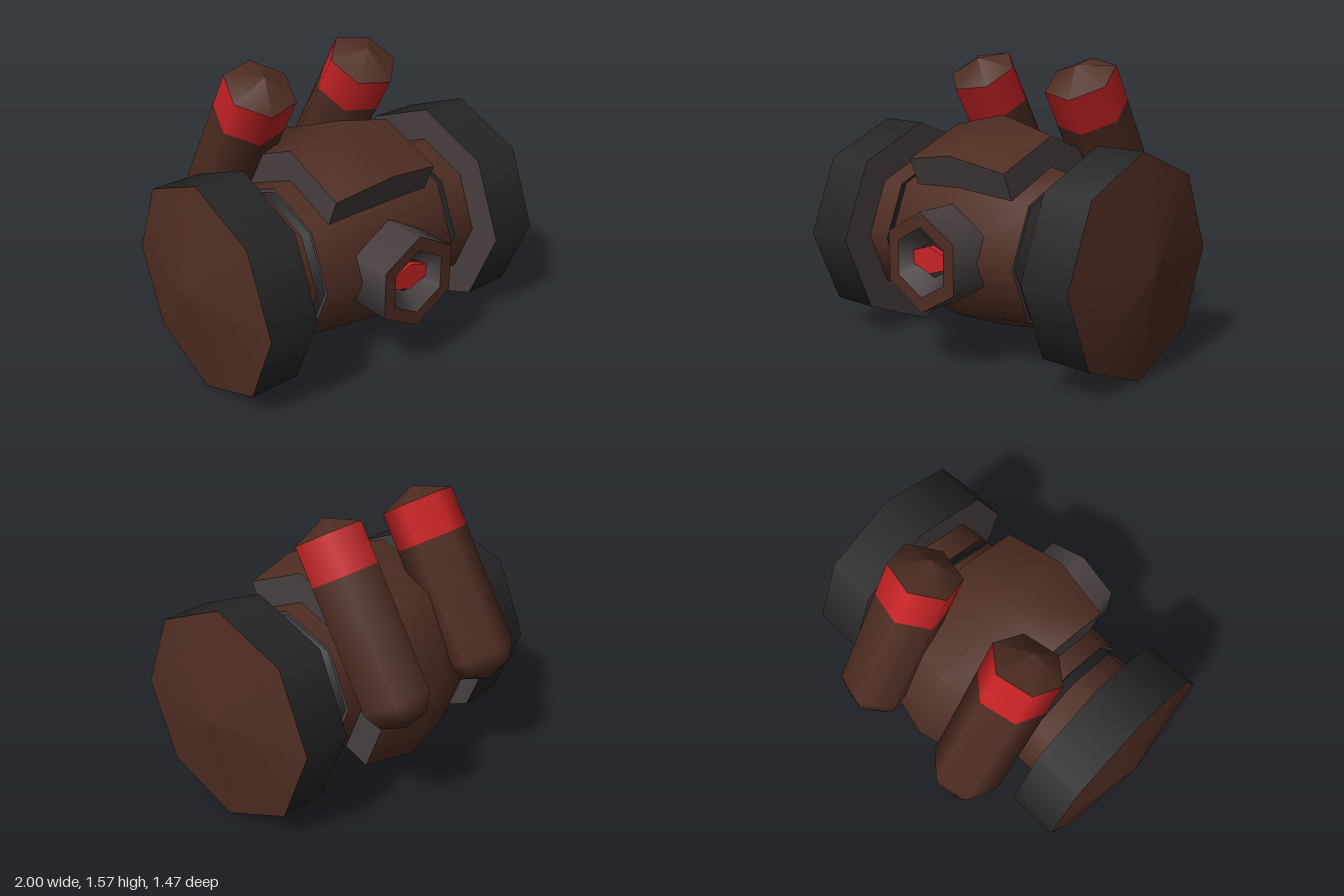
import * as THREE from 'three';
import { mergeVertices } from 'three/addons/utils/BufferGeometryUtils.js';

const mat = (name, color) => {
  const m = new THREE.MeshStandardMaterial({ color });
  m.name = name;
  return m;
};

export function createModel() {
  const brown = mat('brown', 0x4f2d22);
  const black = mat('black', 0x252525);
  const grey = mat('warmGrey', 0x483f3f);
  const red = mat('red', 0xc82325);
  const CY = 0.595, CZ = 0.105; // main axle height and depth

  const model = new THREE.Group();
  model.name = 'model';
  const add = (parent, name, geometry, material) => {
    const mesh = new THREE.Mesh(geometry, material);
    mesh.name = name;
    parent.add(mesh);
    return mesh;
  };
  // Surface of revolution; profile entries are [radius, height]
  const turned = (profile, sides, start = 0) =>
    new THREE.LatheGeometry(profile.map(([r, h]) => new THREE.Vector2(r, h)), sides, start);

  // Everything arranged around the sideways axle
  const axle = new THREE.Group();
  axle.name = 'axle';
  axle.position.set(0, CY, CZ);
  model.add(axle);

  const alongX = (g) => g.rotateZ(-Math.PI / 2);
  add(axle, 'body', alongX(turned([[0.43, -0.44], [0.49, 0], [0.43, 0.44]], 8)), brown);

  // End drums, one for each side
  for (const [name, angle] of [['leftEnd', 0], ['rightEnd', Math.PI]]) {
    const end = new THREE.Group();
    end.name = name;
    end.rotation.y = angle;
    axle.add(end);
    const ring = (part, profile, material) => add(end, part, alongX(turned(profile, 8)), material);
    ring('bodyEdge', [[0.43, 0.44], [0.41, 0.44]], grey);
    ring('groove', [[0.41, 0.44], [0.345, 0.49]], black);
    ring('sleeveEdge', [[0.3, 0.49], [0.41, 0.49]], black);
    ring('sleeve', [[0.41, 0.49], [0.41, 0.63]], brown);
    ring('drumInnerFace', [[0.38, 0.63], [0.59, 0.63]], grey);
    ring('drumRim', [[0.59, 0.63], [0.59, 0.91]], black);
    ring('drumCap', [[0.59, 0.91], [0, 1]], brown);
  }

  // Raised shell wrapped over the top and back; sections are unit [z, y] pairs
  const h = Math.SQRT1_2, k = 0.68;
  const outer = [[0.609, 0.755], [0, 1], [-h, h], [-1, 0], [-0.755, -0.609]];
  const inner = [[0.496, 0.478], [0, k], [-h * k, h * k], [-k, 0], [-0.478, -0.496]];
  const stations = [[-0.335, 0.61], [0, 0.69], [0.335, 0.61]];
  const at = (section, i, s) => {
    const [x, r] = stations[s];
    return [x, section[i][1] * r, section[i][0] * r];
  };
  const fromQuads = (quads) => {
    const g = new THREE.BufferGeometry();
    const pts = quads.flatMap(([a, b, c, d]) => [a, b, c, a, c, d]).flat();
    g.setAttribute('position', new THREE.Float32BufferAttribute(pts, 3));
    return g;
  };
  const plates = [], edges = [];
  for (let i = 0; i < 4; i++) {
    for (let s = 0; s < 2; s++) {
      plates.push([at(outer, i, s), at(outer, i, s + 1), at(outer, i + 1, s + 1), at(outer, i + 1, s)]);
    }
    const side = (s) => [at(outer, i, s), at(inner, i, s), at(inner, i + 1, s), at(outer, i + 1, s)];
    edges.push(side(2), side(0).reverse());
  }
  for (let s = 0; s < 2; s++) {
    const lip = (i) => [at(outer, i, s), at(inner, i, s), at(inner, i, s + 1), at(outer, i, s + 1)];
    edges.push(lip(0), lip(4).reverse());
  }
  const plateGeometry = mergeVertices(fromQuads(plates));
  plateGeometry.computeVertexNormals();
  add(axle, 'shellPlate', plateGeometry, brown);
  const edgeGeometry = fromQuads(edges);
  edgeGeometry.computeVertexNormals();
  add(axle, 'shellEdge', edgeGeometry, grey);

  // Six-sided front nozzle with a glowing core
  const nozzle = new THREE.Group();
  nozzle.name = 'nozzle';
  nozzle.position.y = CY;
  model.add(nozzle);
  const alongZ = (g) => g.rotateX(Math.PI / 2);
  const tube = (part, profile, material) => add(nozzle, part, alongZ(turned(profile, 6)), material);
  tube('nozzleSide', [[0.265, 0.5], [0.265, 0.735]], grey);
  tube('nozzleRim', [[0.265, 0.735], [0.185, 0.735]], brown);
  tube('nozzleFunnel', [[0.185, 0.735], [0.1, 0.64]], grey);
  tube('nozzleFloor', [[0.1, 0.64], [0, 0.64]], black);
  const core = add(nozzle, 'nozzleCore', alongZ(new THREE.CylinderGeometry(0.127, 0.127, 0.05, 6)), red);
  core.scale.y = 0.57;
  core.position.set(0, 0.002, 0.65);

  // Two slanted canisters on the back
  for (const side of [1, -1]) {
    const canister = new THREE.Group();
    canister.name = side > 0 ? 'leftCanister' : 'rightCanister';
    canister.position.set(0.35 * side, 0.7035, -0.568);
    canister.rotation.x = Math.PI / 6;
    model.add(canister);
    const part = (name, profile, material) =>
      add(canister, name, turned(profile, 6, side * Math.PI / 12), material);
    part('canisterBody', [[0, -0.147], [0.143, -0.095], [0.2, 0], [0.2, 0.68]], brown);
    part('canisterBand', [[0.2, 0.68], [0.2, 0.9]], red);
    part('canisterCap', [[0.2, 0.9], [0, 0.985]], brown);
  }
  return model;
}
